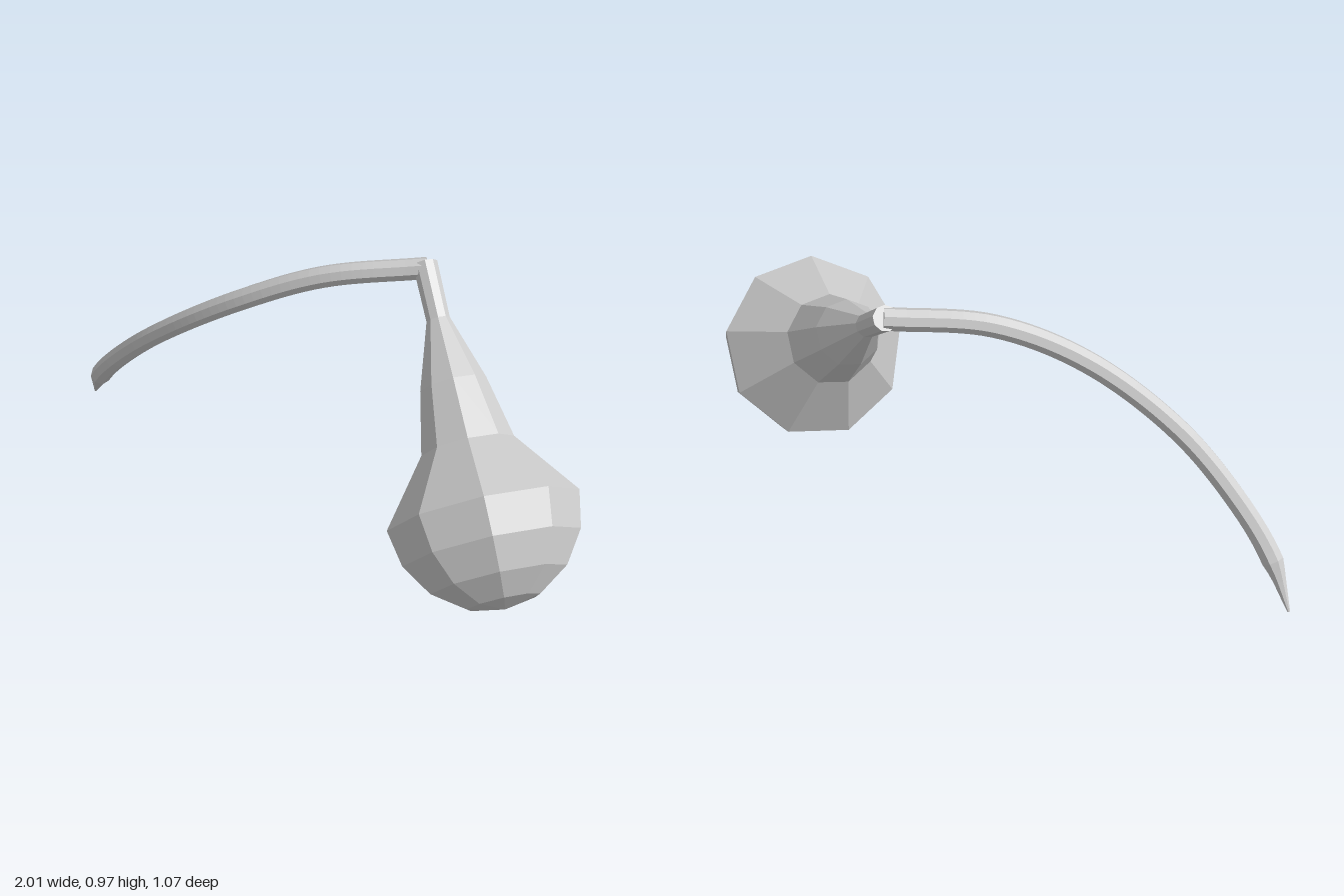
import * as THREE from 'three';

const material = new THREE.MeshStandardMaterial({ color: 0xcccccc, flatShading: true });
const v3 = (x, y, z) => new THREE.Vector3(x, y, z);

// Pear-shaped nine-sided bulb with a long neck, turned about a slanted axis
function makeBulb() {
  const start = v3(0.33, 0.945, -0.345);
  const centre = v3(0.69, 0.4, 0.215);
  const length = start.distanceTo(centre);
  const radius = 0.32;
  const profile = [[0, 0], [0.042, 0], [0.04, 0.2], [0.112, 0.427], [0.156, 0.64]]
    .map(([r, t]) => new THREE.Vector2(r, t));
  // Rounded front dome
  const rows = 4;
  for (let i = 0; i <= rows; i++) {
    const a = (i / rows) * Math.PI / 2;
    profile.push(new THREE.Vector2(Math.max(radius * Math.cos(a), 0), length + radius * Math.sin(a)));
  }
  const bulb = new THREE.Mesh(new THREE.LatheGeometry(profile, 9), material);
  const axis = centre.clone().sub(start).normalize();
  const side = v3(0.27, 0.09, -0.075).projectOnPlane(axis).normalize();
  const across = axis.clone().cross(side);
  bulb.quaternion.setFromRotationMatrix(new THREE.Matrix4().makeBasis(across, axis, side));
  bulb.position.copy(start);
  bulb.name = 'bulb';
  return bulb;
}

// Arched eight-sided stem that tapers to a point
function makeStem() {
  const curve = new THREE.CatmullRomCurve3([
    v3(0.34, 0.935, -0.335), v3(0, 0.88, -0.26), v3(-0.3, 0.74, -0.233),
    v3(-0.6, 0.525, -0.278), v3(-0.8, 0.325, -0.363), v3(-0.925, 0.16, -0.445),
    v3(-0.997, 0.005, -0.535),
  ]);
  const rings = 50, sides = 8, radius = 0.038;
  const geometry = new THREE.TubeGeometry(curve, rings, 1, sides, false);
  const pos = geometry.attributes.position;
  const p = v3();
  const scaleAt = (u) => {
    if (u < 0.9) return radius;
    if (u < 0.935) return THREE.MathUtils.mapLinear(u, 0.9, 0.935, radius, 0.024);
    return THREE.MathUtils.mapLinear(u, 0.935, 1, 0.024, 0.005);
  };
  for (let i = 0; i <= rings; i++) {
    const own = curve.getPointAt(i / rings);
    // The first two rings share a centre, which closes the blunt end
    const centre = i < 2 ? curve.getPointAt(0) : own;
    const r = i === 0 ? 0 : scaleAt(i / rings);
    for (let j = 0; j <= sides; j++) {
      const k = i * (sides + 1) + j;
      p.fromBufferAttribute(pos, k).sub(own).multiplyScalar(r).add(centre);
      pos.setXYZ(k, p.x, p.y, p.z);
    }
  }
  geometry.computeVertexNormals();
  const stem = new THREE.Mesh(geometry, material);
  stem.name = 'stem';
  return stem;
}

export function createModel() {
  const model = new THREE.Group();
  model.name = 'bulbOnStem';
  model.add(makeBulb(), makeStem());
  return model;
}
